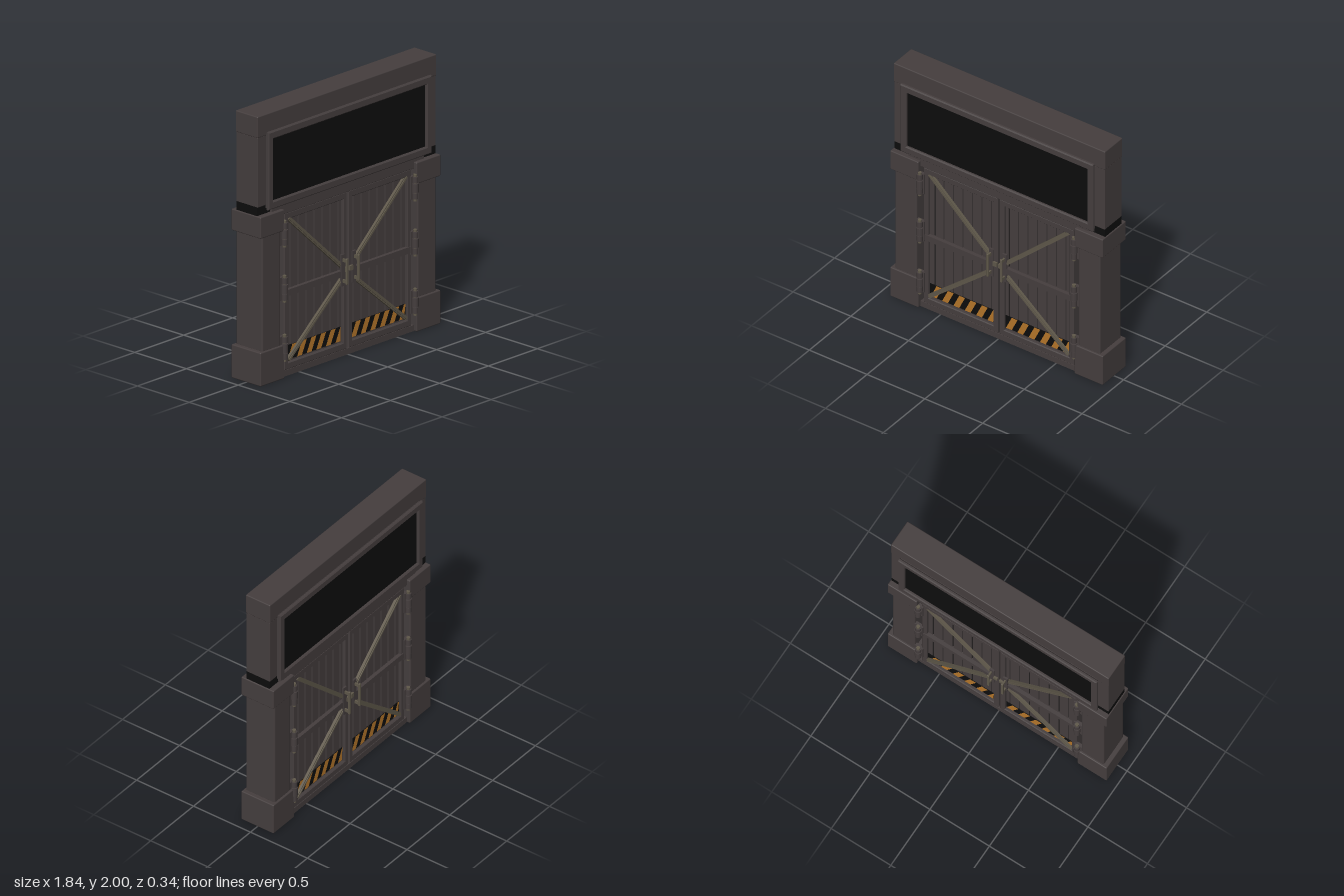
import * as THREE from 'three';
import { RoundedBoxGeometry } from 'three/addons/geometries/RoundedBoxGeometry.js';

const mat = (name, color) => {
  const m = new THREE.MeshStandardMaterial({ color });
  m.name = name;
  return m;
};

export function createModel() {
  const steel = mat('dark steel', 0x453e3e);
  const brace = mat('olive metal', 0x5f584a);
  const black = mat('black', 0x0d0d0d);
  const orange = mat('hazard orange', 0xb5762a);
  const root = new THREE.Group();
  root.name = 'gate';

  const add = (parent, name, geo, m, x = 0, y = 0, z = 0) => {
    const mesh = new THREE.Mesh(geo, m);
    mesh.name = name;
    mesh.position.set(x, y, z);
    parent.add(mesh);
    return mesh;
  };
  // Box given by its extents; r > 0 softens the edges
  const box = (parent, name, m, x0, x1, y0, y1, z0, z1, r = 0) => {
    const s = [x1 - x0, y1 - y0, z1 - z0];
    const geo = r ? new RoundedBoxGeometry(...s, 2, r) : new THREE.BoxGeometry(...s);
    return add(parent, name, geo, m, (x0 + x1) / 2, (y0 + y1) / 2, (z0 + z1) / 2);
  };
  // Same box on the +x or -x side
  const sideBox = (parent, name, m, s, x0, x1, ...rest) =>
    box(parent, name, m, s > 0 ? x0 : -x1, s > 0 ? x1 : -x0, ...rest);
  // Rectangular frame with an opening
  const frameGeo = (x0, x1, y0, y1, bx, by, depth, bevel) => {
    const rect = (target, a, b, c, d) =>
      target.moveTo(a, c).lineTo(b, c).lineTo(b, d).lineTo(a, d).closePath();
    const shape = rect(new THREE.Shape(), x0 + bevel, x1 - bevel, y0 + bevel, y1 - bevel);
    shape.holes.push(rect(new THREE.Path(), x0 + bx, x1 - bx, y0 + by, y1 - by));
    return new THREE.ExtrudeGeometry(shape, {
      depth: depth - bevel * 2, bevelEnabled: true, bevelSize: bevel,
      bevelThickness: bevel, bevelSegments: 1,
    }).translate(0, 0, bevel);
  };

  // Overhead sign box, neck, lintel and sill
  box(root, 'topBeam', steel, -0.915, 0.915, 1.84, 2, -0.107, 0.107, 0.008);
  box(root, 'signBox', steel, -0.912, 0.912, 1.32, 1.845, -0.104, 0.104, 0.006);
  box(root, 'neck', black, -0.912, 0.912, 1.25, 1.325, -0.1, 0.1);
  box(root, 'lintel', steel, -0.78, 0.78, 1.21, 1.3, -0.115, 0.115, 0.006);
  box(root, 'sill', steel, -0.69, 0.69, 0, 0.045, -0.115, 0.115);

  // Pillars and door leaves
  for (const s of [-1, 1]) {
    sideBox(root, 'pillarBase', steel, s, 0.675, 0.92, 0, 0.25, -0.142, 0.142, 0.008);
    sideBox(root, 'pillarShaft', steel, s, 0.7, 0.887, 0.24, 1.11, -0.127, 0.127, 0.012);
    sideBox(root, 'pillarCapital', steel, s, 0.675, 0.92, 1.1, 1.26, -0.142, 0.142, 0.008);
    const x0 = s > 0 ? 0.006 : -0.65, x1 = s > 0 ? 0.65 : -0.006;
    add(root, 'doorFrame', frameGeo(x0, x1, 0.045, 1.215, 0.036, 0.045, 0.23, 0.006), steel, 0, 0, -0.115);
    sideBox(root, 'doorCore', black, s, 0.03, 0.63, 0.07, 1.19, -0.08, 0.08);
  }

  // Everything mounted on one face; built for front and back
  const buildFace = (face) => {
    add(face, 'signFrame', frameGeo(-0.835, 0.835, 1.29, 1.87, 0.045, 0.05, 0.028, 0.008), steel, 0, 0, 0.112);
    add(face, 'signFrameBacking', frameGeo(-0.825, 0.825, 1.3, 1.86, 0.035, 0.04, 0.018, 0.002), steel, 0, 0, 0.096);
    box(face, 'signPanel', black, -0.79, 0.79, 1.34, 1.82, 0.1, 0.118);

    for (const s of [-1, 1]) {
      // Vertical planks separated by dark seams
      const seams = [0.036, 0.077, 0.158, 0.24, 0.322, 0.404, 0.486, 0.568, 0.618];
      for (let i = 0; i + 1 < seams.length; i++)
        sideBox(face, 'plank', steel, s, seams[i] + 0.005, seams[i + 1] - 0.005, 0.085, 1.175, 0.075, 0.092);

      // Middle rail and diagonal braces
      sideBox(face, 'midRail', steel, s, 0.04, 0.638, 0.592, 0.64, 0.085, 0.12);
      for (const [xa, ya, xb, yb] of [[0.05, 0.665, 0.602, 1.17], [0.05, 0.575, 0.602, 0.112]]) {
        const len = Math.hypot(xb - xa, yb - ya);
        const bar = add(face, 'diagonalBrace', new THREE.BoxGeometry(len, 0.03, 0.02), brace,
          s * (xa + xb) / 2, (ya + yb) / 2, 0.104);
        bar.rotation.z = s * Math.atan2(yb - ya, xb - xa);
        const rib = add(bar, 'braceRib', new THREE.BoxGeometry(len, 0.012, 0.008), brace, 0, 0, 0.012);
        rib.position.z = 0.012;
      }

      // Hazard strip: black plate with slanted orange stripes
      const h0 = s > 0 ? 0.042 : -0.608, h1 = s > 0 ? 0.608 : -0.055;
      box(face, 'hazardPlate', black, h0, h1, 0.108, 0.215, 0.09, 0.095);
      const clamp = (x) => Math.min(h1, Math.max(h0, x));
      for (let k = -1; k < 7; k++) {
        const a = h0 + 0.01 + k * 0.098;
        const pts = [[a, 0.108], [a + 0.05, 0.108], [a + 0.1, 0.215], [a + 0.05, 0.215]]
          .map(([x, y]) => new THREE.Vector2(clamp(x), y));
        if (Math.abs(THREE.ShapeUtils.area(pts)) < 0.0008) continue;
        add(face, 'hazardStripe', new THREE.ShapeGeometry(new THREE.Shape(pts)), orange, 0, 0, 0.097);
      }

      // Hinges: leaf plate plus stacked knuckles
      for (const y of [0.225, 0.665, 1.075]) {
        sideBox(face, 'hingeLeaf', steel, s, 0.635, 0.705, y - 0.085, y + 0.085, 0.1, 0.125);
        for (const [dy, h, r] of [[-0.06, 0.045, 0.022], [0, 0.065, 0.026], [0.06, 0.045, 0.022]])
          add(face, 'hingeKnuckle', new THREE.CylinderGeometry(r, r, h, 12), steel, s * 0.667, y + dy, 0.134);
        add(face, 'hingePin', new THREE.CylinderGeometry(0.014, 0.014, 0.2, 10), brace, s * 0.667, y, 0.134);
      }

      // Pull handle and latch
      sideBox(face, 'handlePlate', steel, s, 0.038, 0.075, 0.525, 0.76, 0.11, 0.124);
      sideBox(face, 'handleGrip', brace, s, 0.05, 0.068, 0.545, 0.74, 0.155, 0.17, 0.004);
      for (const y of [0.565, 0.72])
        sideBox(face, 'handlePost', brace, s, 0.053, 0.065, y - 0.012, y + 0.012, 0.12, 0.158);
      sideBox(face, 'latch', brace, s, 0.008, 0.04, 0.625, 0.66, 0.11, 0.13);
    }
  };
  for (const name of ['front', 'back']) {
    const face = new THREE.Group();
    face.name = name + 'Face';
    if (name === 'back') face.rotation.y = Math.PI;
    buildFace(face);
    root.add(face);
  }
  return root;
}
